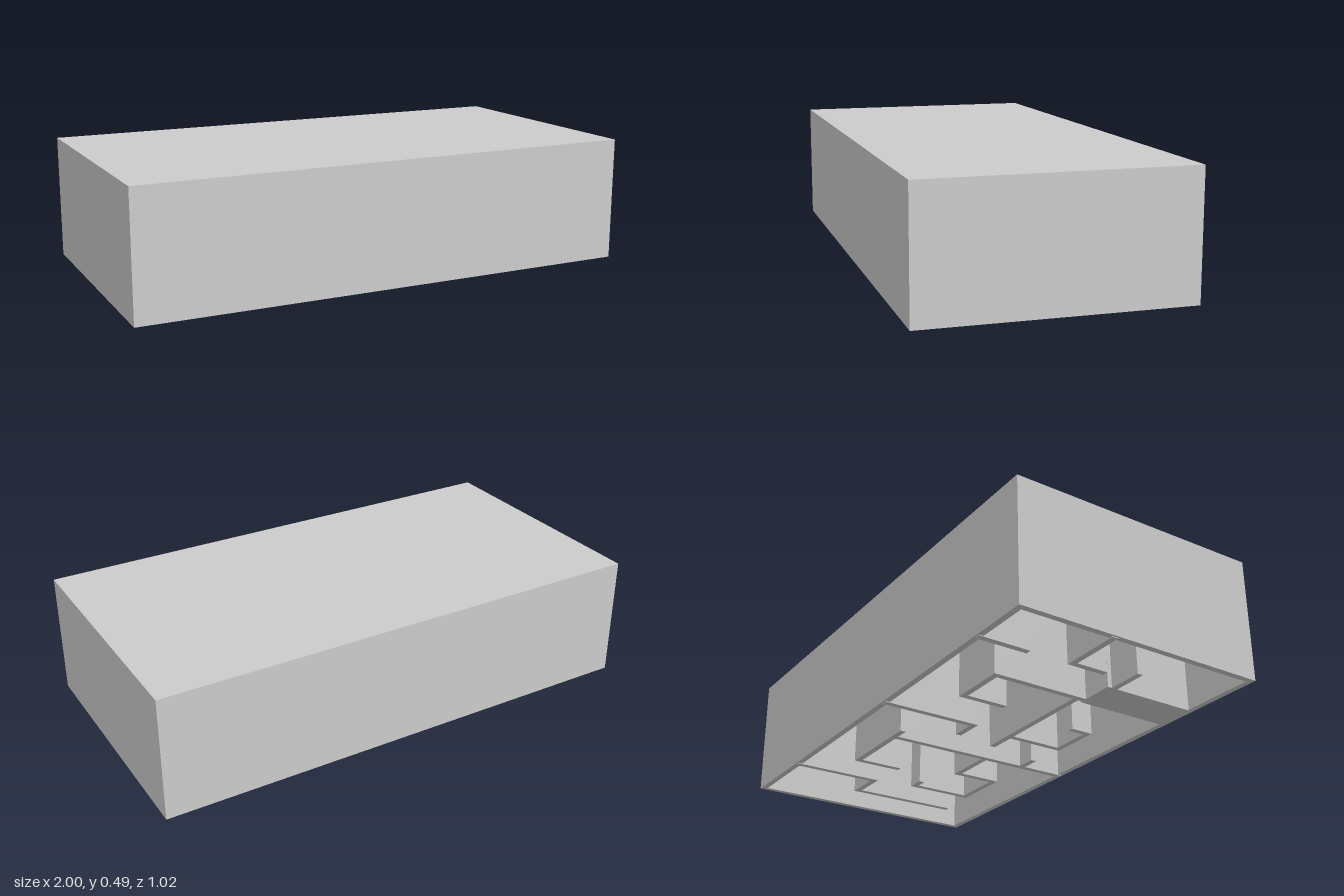
import * as THREE from 'three';

export function createModel() {
  const group = new THREE.Group();
  const material = new THREE.MeshStandardMaterial({ color: 0xcccccc, flatShading: true });
  const W = 2, D = 1.02, H = 0.49, T = 0.024, LIFT = 0.003;

  // Box spanning two opposite corners
  function block(name, x0, x1, y0, y1, z0, z1) {
    const mesh = new THREE.Mesh(new THREE.BoxGeometry(x1 - x0, y1 - y0, z1 - z0), material);
    mesh.position.set((x0 + x1) / 2, (y0 + y1) / 2, (z0 + z1) / 2);
    mesh.name = name;
    group.add(mesh);
  }

  // Outer shell, open underneath: one extruded frame and a roof slab
  const frame = new THREE.Shape([[-1, -1], [1, -1], [1, 1], [-1, 1]]
    .map(([a, b]) => new THREE.Vector2(a * W / 2, b * D / 2)));
  frame.holes.push(new THREE.Path([[-1, -1], [-1, 1], [1, 1], [1, -1]]
    .map(([a, b]) => new THREE.Vector2(a * (W / 2 - T), b * (D / 2 - T)))));
  const frameGeometry = new THREE.ExtrudeGeometry(frame, { depth: H - LIFT, bevelEnabled: false });
  frameGeometry.rotateX(-Math.PI / 2);
  const outerWalls = new THREE.Mesh(frameGeometry, material);
  outerWalls.position.y = LIFT;
  outerWalls.name = 'outerWalls';
  group.add(outerWalls);
  block('roof', -W / 2 + T, W / 2 - T, H - T, H, -D / 2 + T, D / 2 - T);

  // Partitions as [u0, v0, u1, v1]: u runs from the left side, v from the back
  const partitions = [
    [0.37, 0.02, 0.37, 0.37], [0.22, 0.37, 0.37, 0.37], [0.22, 0.37, 0.22, 0.82],
    [0.41, 0.55, 0.41, 0.81], [0.41, 0.81, 0.64, 0.81], [0.41, 0.55, 0.46, 0.55],
    [0.64, 0.63, 0.64, 0.81], [0.64, 0.63, 0.85, 0.63],
    [0.55, 0.20, 0.55, 0.38], [0.55, 0.20, 0.91, 0.20], [0.85, 0.20, 0.85, 1.00],
    [0.85, 0.81, 0.93, 0.81],
    [1.12, 0.02, 1.12, 0.40], [1.02, 0.40, 1.12, 0.40],
    [0.99, 0.58, 1.54, 0.58], [1.10, 0.58, 1.10, 0.82], [1.10, 0.82, 1.29, 0.82],
    [1.29, 0.75, 1.29, 0.82],
    [1.33, 0.22, 1.33, 0.39], [1.33, 0.22, 1.54, 0.22], [1.54, 0.22, 1.54, 0.62],
    [1.54, 0.64, 1.81, 0.64],
    [1.75, 0.02, 1.75, 0.20], [1.76, 0.39, 1.98, 0.39], [1.76, 0.39, 1.76, 0.52],
  ];
  const h = T / 2;
  for (const [u0, v0, u1, v1] of partitions) {
    block('partition', 1 - u1 - h, 1 - u0 + h, 0, H - T, v0 - D / 2 - h, v1 - D / 2 + h);
  }

  // Solid pier against the front wall
  block('solidPier', -0.68, -0.52, 0, H - T, 0.10, D / 2 - T);
  return group;
}
